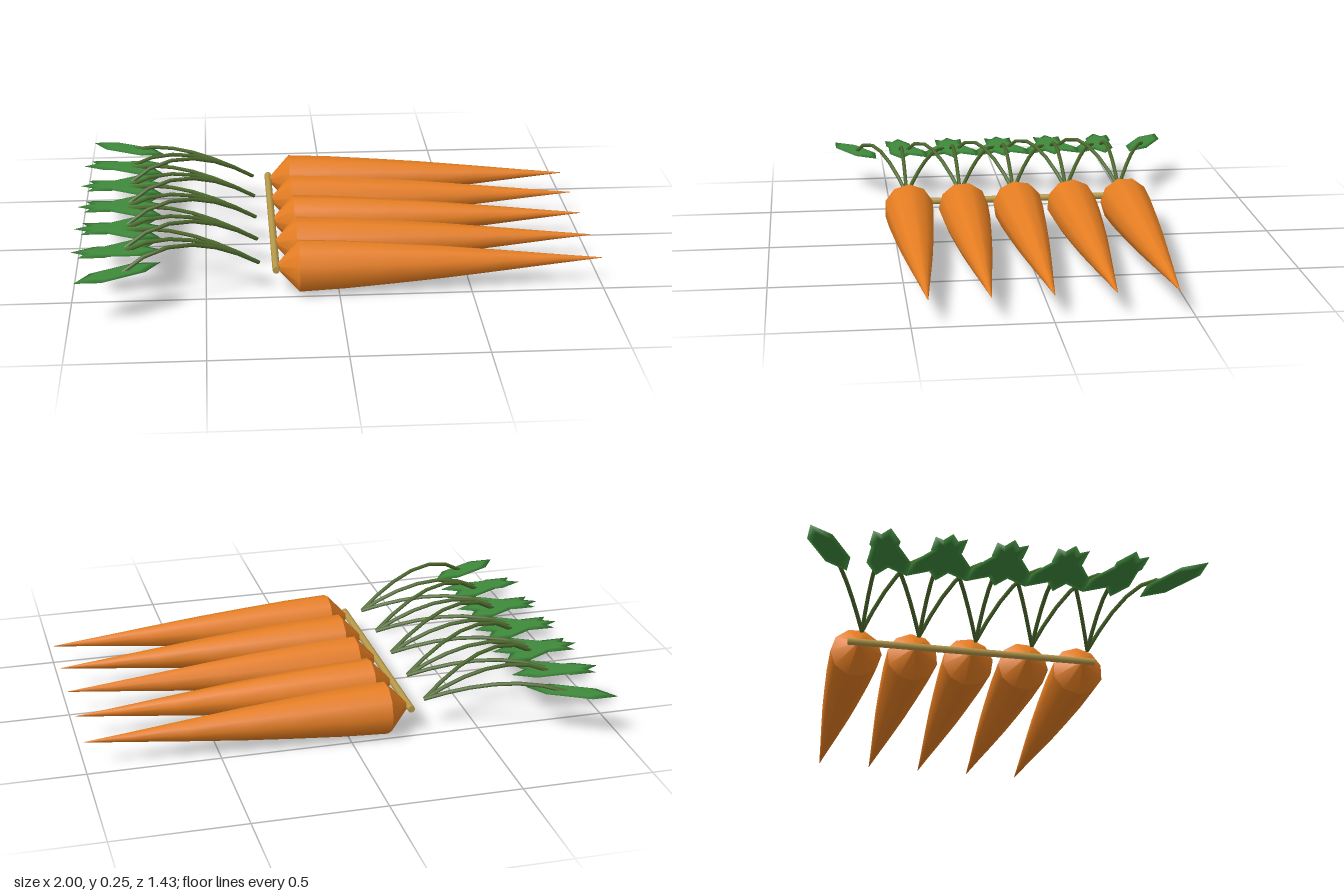
import * as THREE from 'three';

const mat = (name, color) => {
  const m = new THREE.MeshStandardMaterial({ color });
  m.name = name;
  return m;
};

export function createModel() {
  const orange = mat('carrotOrange', 0xe67e22);
  const stemGreen = mat('stemGreen', 0x4f6b2e);
  const leafGreen = mat('leafGreen', 0x3f8a3c);
  const twine = mat('twineTan', 0xb89a4a);
  const model = new THREE.Group();
  model.name = 'carrotBunch';
  const y0 = 0.102;

  const add = (parent, name, geo, material) => {
    const mesh = new THREE.Mesh(geo, material);
    mesh.name = name;
    parent.add(mesh);
    return mesh;
  };

  // Root profiles as [radius, x], turned so the axis lies along x
  const lathe = (pts) => new THREE.LatheGeometry(pts.map((p) => new THREE.Vector2(...p)), 10).rotateZ(-Math.PI / 2);
  const body = lathe([[0.1, -0.15], [0.092, 0.02], [0.077, 0.22], [0.062, 0.4], [0.04, 0.62], [0.018, 0.83], [0.001, 1]]);
  const crown = lathe([[0, -0.232], [0.012, -0.23], [0.1, -0.15]]);

  // Flattened six-sided leaf
  const leafGeo = new THREE.SphereGeometry(1, 6, 4).scale(0.176, 0.007, 0.055);

  // Three arched stems per root: [side, peak height]
  const fronds = [[-1, 0.2], [0, 0.222], [1, 0.245]];

  for (let i = 0; i < 5; i++) {
    const carrot = new THREE.Group();
    carrot.name = 'carrot';
    carrot.position.z = (i - 2) * 0.22;
    model.add(carrot);

    for (const [name, geo] of [['rootBody', body], ['rootCrown', crown]]) {
      const part = add(carrot, name, geo, orange);
      part.position.y = y0;
      part.rotation.x = i * 0.23;
    }

    for (const [side, peak] of fronds) {
      const curve = new THREE.QuadraticBezierCurve3(
        new THREE.Vector3(-0.3, 0.12, 0),
        new THREE.Vector3(-0.6, 2 * peak - 0.15, side * 0.115),
        new THREE.Vector3(-0.8, 0.18, side * 0.19)
      );
      add(carrot, 'stem', new THREE.TubeGeometry(curve, 6, 0.008, 5), stemGreen);
      const leaf = add(carrot, 'leaf', leafGeo, leafGreen);
      leaf.position.set(side ? -0.817 : -0.824, 0.18, side * 0.193);
      leaf.rotation.y = side * 0.5;
    }
  }

  // Binding rod joining the crowns
  const rod = add(model, 'bindingRod', new THREE.CylinderGeometry(0.014, 0.014, 0.97, 8), twine);
  rod.rotation.x = Math.PI / 2;
  rod.position.set(-0.237, 0.105, 0);

  return model;
}
